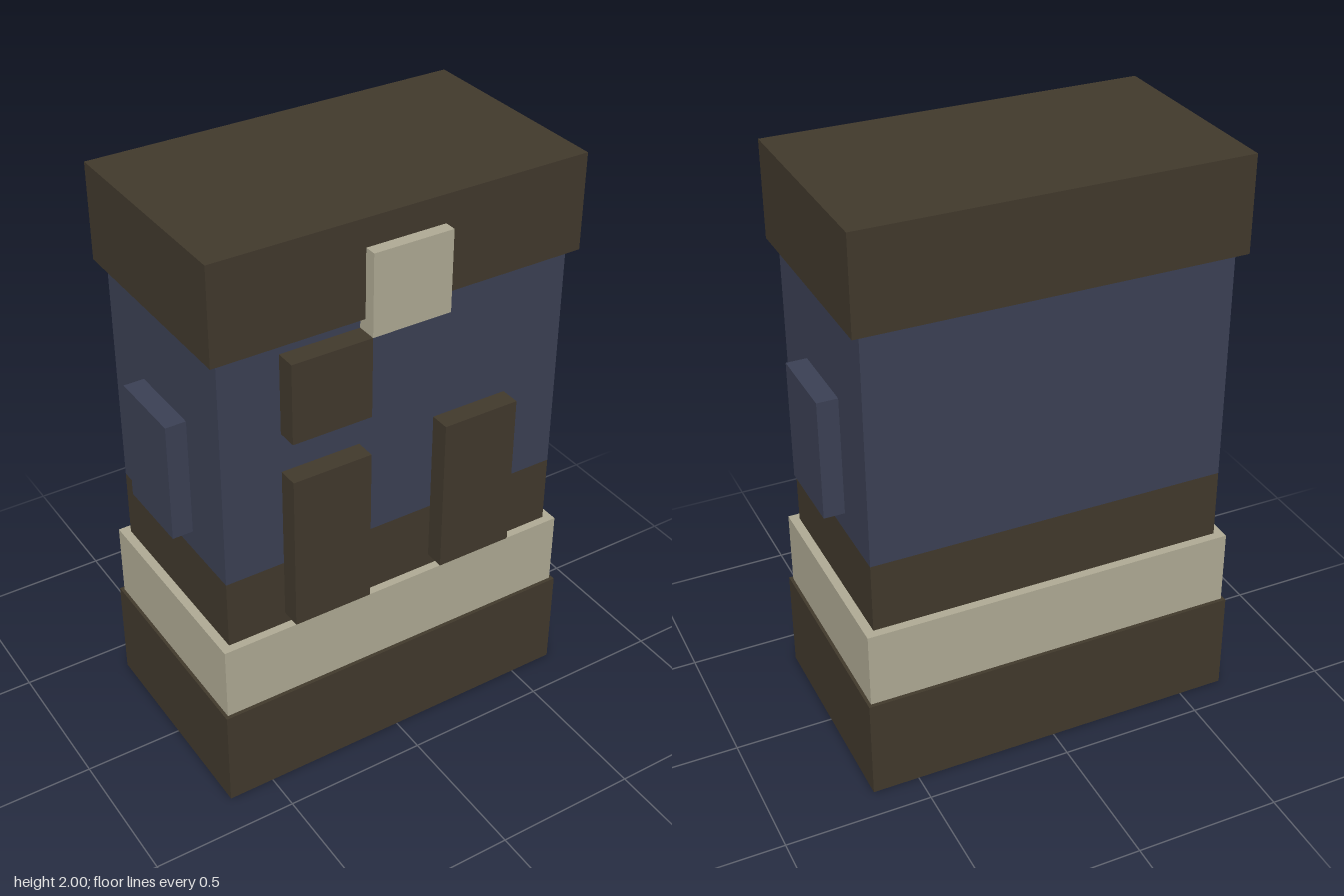
import * as THREE from 'three';

export function createModel() {
  const model = new THREE.Group();
  model.name = 'blockMachine';

  const material = (name, color) => {
    const m = new THREE.MeshStandardMaterial({ color });
    m.name = name;
    return m;
  };
  const brown = material('dark brown', 0x41392c);
  const blue = material('slate blue', 0x3b4054);
  const cream = material('cream', 0xafaa94);

  // Box given by its limits on each axis
  const block = (name, mat, [x0, x1], [y0, y1], [z0, z1]) => {
    const mesh = new THREE.Mesh(new THREE.BoxGeometry(x1 - x0, y1 - y0, z1 - z0), mat);
    mesh.position.set((x0 + x1) / 2, (y0 + y1) / 2, (z0 + z1) / 2);
    mesh.name = name;
    model.add(mesh);
  };

  // Stacked body, from the floor up
  block('base', brown, [-0.66, 0.66], [0, 0.36], [-0.398, 0.372]);
  block('lightBand', cream, [-0.649, 0.649], [0.36, 0.625], [-0.385, 0.359]);
  block('lowerBody', brown, [-0.618, 0.618], [0.625, 0.868], [-0.355, 0.331]);
  block('upperBody', blue, [-0.618, 0.618], [0.868, 1.673], [-0.355, 0.331]);
  block('cap', brown, [-0.649, 0.649], [1.673, 2], [-0.385, 0.359]);

  // Raised blocks on the front
  const front = [0.331, 0.4];
  block('badge', cream, [-0.138, 0.137], [1.63, 1.906], front);
  block('smallFrontPanel', brown, [-0.413, -0.138], [1.355, 1.63], front);
  block('rightFrontPanel', brown, [-0.413, -0.138], [0.666, 1.217], front);
  block('leftFrontPanel', brown, [0.137, 0.41], [0.666, 1.217], front);

  // Raised blocks on both sides
  block('leftSidePanel', blue, [0.618, 0.688], [0.941, 1.355], [-0.15, 0.125]);
  block('rightSidePanel', blue, [-0.688, -0.618], [0.941, 1.355], [-0.15, 0.125]);

  return model;
}
